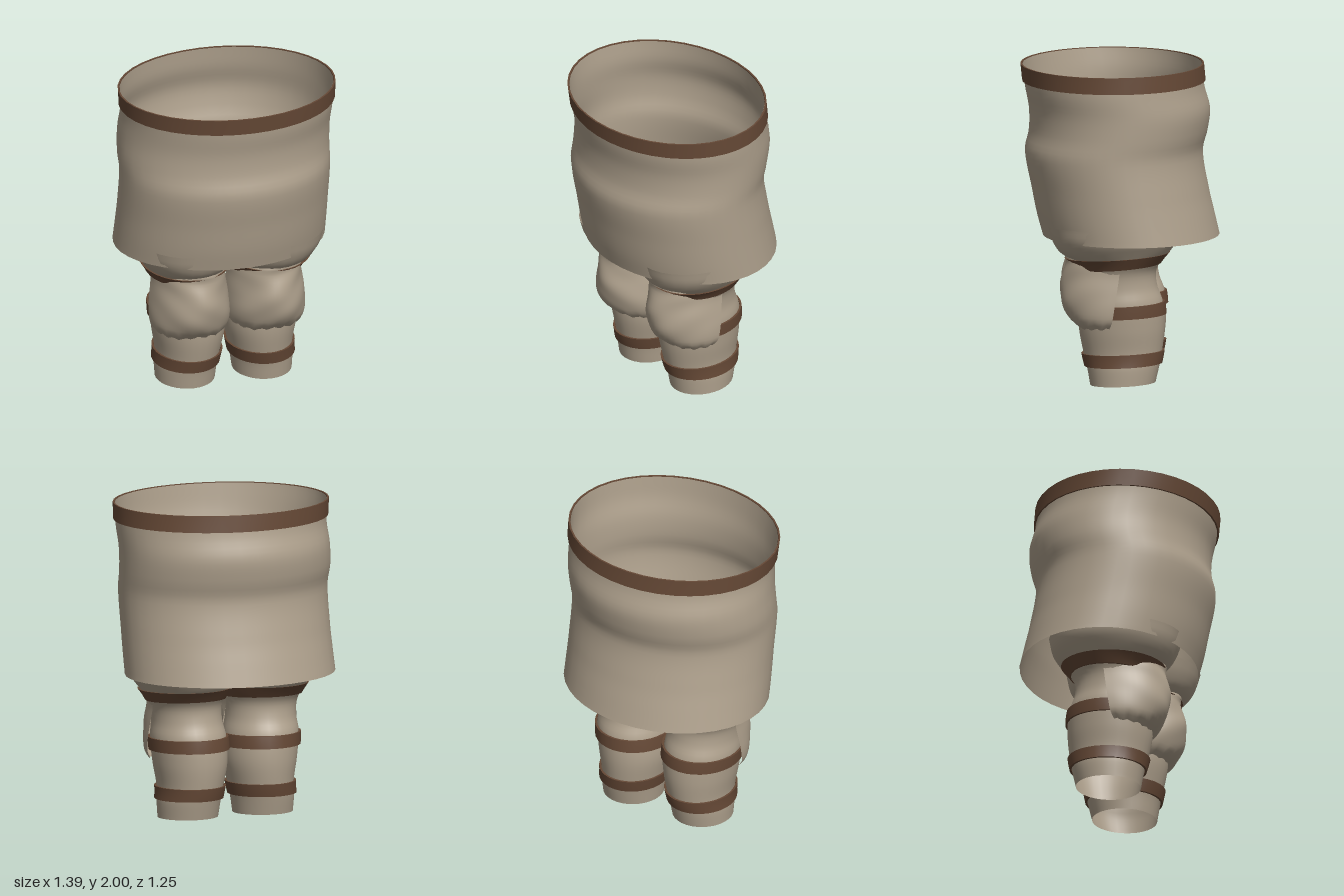
import * as THREE from 'three';
import { toCreasedNormals } from 'three/addons/utils/BufferGeometryUtils.js';

const cloth = new THREE.MeshStandardMaterial({ color: 0xb0a28e, side: THREE.DoubleSide });
cloth.name = 'beige cloth';
const leather = new THREE.MeshStandardMaterial({ color: 0x664936, side: THREE.DoubleSide });
leather.name = 'brown leather';

// Cross-sections: [y, xMin, xMax, zBack, zFront]
const SKIRT = [
  [0.92, -0.69, 0.66, -0.62, 0.49],
  [1.05, -0.685, 0.66, -0.59, 0.525],
  [1.2, -0.68, 0.66, -0.555, 0.555],
  [1.45, -0.68, 0.662, -0.515, 0.6],
  [1.58, -0.688, 0.665, -0.545, 0.575],
  [1.72, -0.68, 0.67, -0.56, 0.575],
  [1.86, -0.67, 0.68, -0.525, 0.6],
  [2.0, -0.68, 0.68, -0.51, 0.615],
];
const LEG = [
  [0.01, 0.065, 0.44, -0.225, 0.185],
  [0.12, 0.05, 0.445, -0.25, 0.205],
  [0.2, 0.035, 0.44, -0.265, 0.225],
  [0.36, 0.005, 0.465, -0.28, 0.255],
  [0.52, 0.01, 0.48, -0.27, 0.26],
  [0.62, 0.03, 0.47, -0.235, 0.25],
  [0.72, 0.03, 0.48, -0.23, 0.25],
  [0.8, 0.0, 0.52, -0.28, 0.29],
  [0.85, -0.02, 0.555, -0.325, 0.375],
  [0.93, -0.06, 0.605, -0.37, 0.425],
  [1.02, -0.085, 0.625, -0.39, 0.455],
];
// Knee guard: [y, half width, zBack, zFront]
const KNEE = [
  [0.365, 0.22, 0.06, 0.245],
  [0.41, 0.248, 0.045, 0.305],
  [0.5, 0.256, 0.03, 0.355],
  [0.6, 0.248, 0.015, 0.372],
  [0.7, 0.235, 0.0, 0.36],
  [0.78, 0.232, -0.01, 0.342],
  [0.84, 0.205, -0.025, 0.335],
  [0.88, 0.13, -0.035, 0.22],
  [0.895, 0.005, -0.04, -0.03],
];

// Smooth interpolation of a section table at height y
function sample(rows, y) {
  let i = 0;
  while (i < rows.length - 2 && y > rows[i + 1][0]) i++;
  const a = rows[i], b = rows[i + 1], h = b[0] - a[0];
  const t = THREE.MathUtils.clamp((y - a[0]) / h, 0, 1);
  const slope = (k, c) => {
    const p = rows[Math.max(k - 1, 0)], n = rows[Math.min(k + 1, rows.length - 1)];
    return (n[c] - p[c]) / (n[0] - p[0]);
  };
  const t2 = t * t, t3 = t2 * t;
  return a.map((v, c) => (c === 0 ? y
    : v * (2 * t3 - 3 * t2 + 1) + b[c] * (3 * t2 - 2 * t3)
      + h * (slope(i, c) * (t3 - 2 * t2 + t) + slope(i + 1, c) * (t3 - t2))));
}

// Skin a grid of points; closed joins the last column to the first
function skin(rows, cols, closed, point, side = 1) {
  const pos = [], idx = [];
  for (let i = 0; i < rows; i++) {
    for (let j = 0; j < cols; j++) {
      const [x, y, z] = point(i, j);
      pos.push(x * side, y, z);
    }
  }
  for (let i = 0; i < rows - 1; i++) {
    for (let j = 0; j < (closed ? cols : cols - 1); j++) {
      const a = i * cols + j, b = i * cols + (j + 1) % cols, c = a + cols, d = b + cols;
      if (side > 0) idx.push(a, c, b, b, c, d);
      else idx.push(a, b, c, b, d, c);
    }
  }
  const geo = new THREE.BufferGeometry();
  geo.setAttribute('position', new THREE.Float32BufferAttribute(pos, 3));
  geo.setIndex(idx);
  geo.computeVertexNormals();
  return geo;
}

// Point on an oval section; tilt lifts the back, grow widens the oval
function ovalPoint([y, x0, x1, zb, zf], angle, tilt = 0, grow = 0) {
  const c = Math.cos(angle), s = Math.sin(angle);
  return [
    (x0 + x1) / 2 + ((x1 - x0) / 2 + grow) * c,
    y - tilt * s,
    (zb + zf) / 2 + ((zf - zb) / 2 + grow) * s,
  ];
}

function tube(table, steps, cols, tilt, side) {
  const y0 = table[0][0], y1 = table[table.length - 1][0];
  return skin(steps + 1, cols, true, (i, j) =>
    ovalPoint(sample(table, y0 + (y1 - y0) * i / steps), j / cols * Math.PI * 2, tilt), side);
}

// Strap wrapped round a section table between two heights
function strap(table, y0, y1, cols, tilt, thick, side) {
  const ring = [[y0, 0.002], [y0, thick], [(y0 + y1) / 2, thick], [y1, thick], [y1, 0.002]];
  const geo = skin(ring.length, cols, true, (i, j) =>
    ovalPoint(sample(table, ring[i][0]), j / cols * Math.PI * 2, tilt, ring[i][1]), side);
  return toCreasedNormals(geo, 0.8);
}

// Padded half-dome over the knee with a ragged lower hem
function kneeGuard(side) {
  const steps = 26, cols = 29;
  return skin(steps + 1, cols, false, (i, j) => {
    const t = i / steps, a = j / (cols - 1) * Math.PI;
    const y = 0.365 + 0.53 * (1 - Math.pow(1 - t, 1.35));
    const [, rx, zb, zf] = sample(KNEE, y);
    const s = Math.sin(a), lump = 0.006 * Math.sin(a * 5 + y * 9) * Math.sin(y * 22) * s;
    const hem = Math.max(0, 1 - t * 8) * (0.007 * Math.sin(j * 1.9) + 0.015 * (1 - s));
    return [0.248 + (rx + lump) * Math.cos(a), y + hem, zb + (zf - zb + lump) * s];
  }, side);
}

function add(parent, name, geometry, material) {
  const mesh = new THREE.Mesh(geometry, material);
  mesh.name = name;
  parent.add(mesh);
}

export function createModel() {
  const model = new THREE.Group();
  model.name = 'clothLegwear';

  // Skirt and waistband
  add(model, 'skirt', tube(SKIRT.map((r) => (r[0] === 2 ? [1.996, ...r.slice(1)] : r)), 32, 40, 0), cloth);
  add(model, 'waistband', strap(SKIRT, 1.895, 2.0, 40, 0, 0.013), leather);

  // Mirrored legs with knee guards and straps
  for (const [side, label] of [[1, 'left'], [-1, 'right']]) {
    const leg = new THREE.Group();
    leg.name = label + 'Leg';
    add(leg, 'legWrap', tube(LEG, 44, 32, 0.01, side), cloth);
    add(leg, 'kneeGuard', kneeGuard(side), cloth);
    add(leg, 'ankleStrap', strap(LEG, 0.13, 0.21, 32, 0.011, 0.015, side), leather);
    add(leg, 'calfStrap', strap(LEG, 0.44, 0.52, 32, 0.011, 0.015, side), leather);
    add(leg, 'thighStrap', strap(LEG, 0.755, 0.825, 32, 0.02, 0.014, side), leather);
    model.add(leg);
  }
  return model;
}
